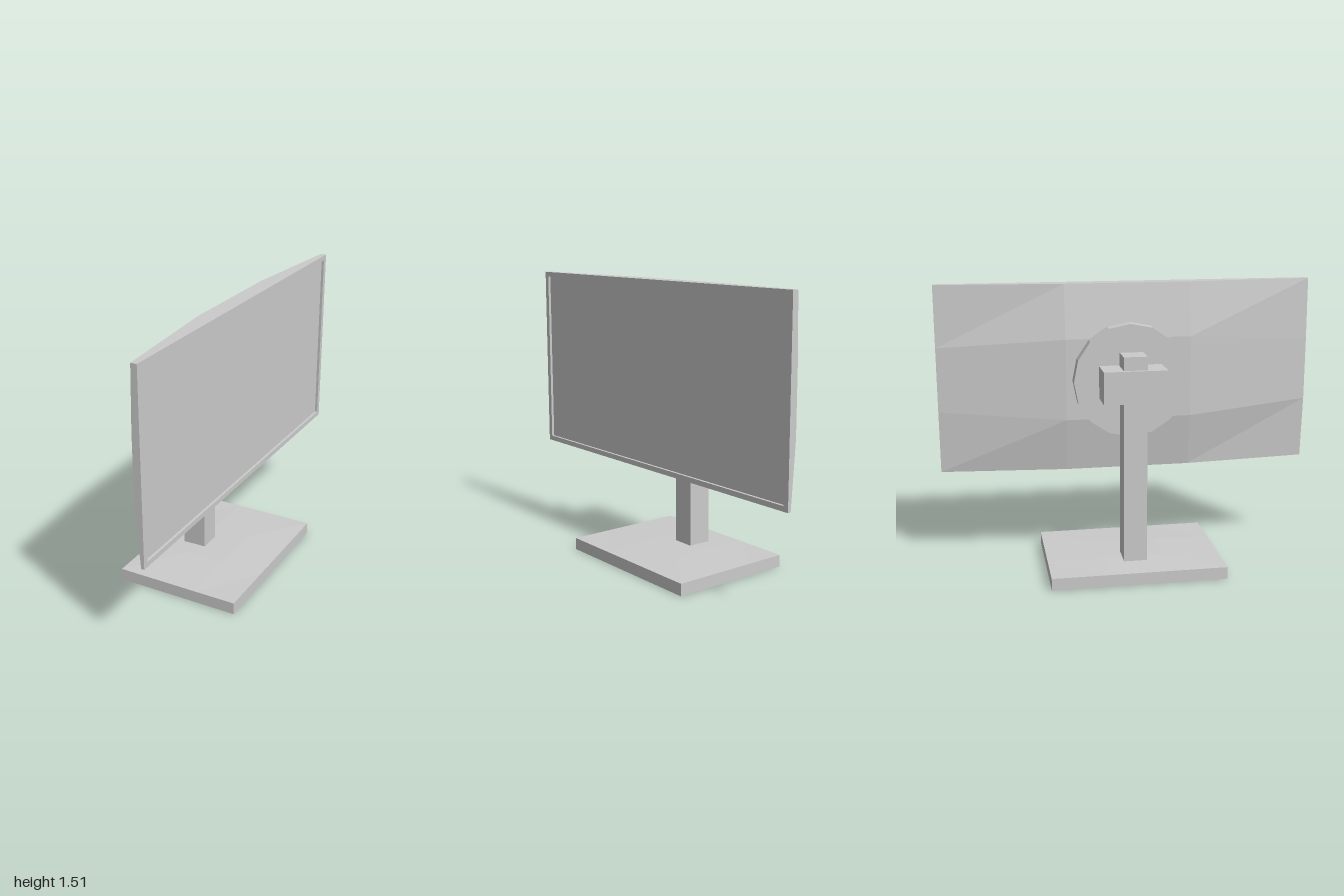
import * as THREE from 'three';

const grey = new THREE.MeshStandardMaterial({ color: 0xcccccc, flatShading: true });

function part(name, geometry, x = 0, y = 0, z = 0) {
  const mesh = new THREE.Mesh(geometry, grey);
  mesh.name = name;
  mesh.position.set(x, y, z);
  return mesh;
}

// Box given by its lower and upper corners
function boxPart(name, [x0, y0, z0], [x1, y1, z1]) {
  return part(name, new THREE.BoxGeometry(x1 - x0, y1 - y0, z1 - z0),
    (x0 + x1) / 2, (y0 + y1) / 2, (z0 + z1) / 2);
}

// Foot plate whose top rises slightly towards the middle
function baseGeometry() {
  const g = new THREE.BoxGeometry(0.68, 0.065, 0.925, 3, 1, 3);
  const p = g.attributes.position;
  for (let i = 0; i < p.count; i++) {
    const inner = Math.abs(p.getX(i)) < 0.3 && Math.abs(p.getZ(i)) < 0.4;
    if (inner && p.getY(i) > 0) p.setY(i, 0.0405);
  }
  g.computeVertexNormals();
  return g;
}

// Screen housing: a 3 x 3 grid back that bulges towards the stand
function housingGeometry(front) {
  const g = new THREE.BoxGeometry(1, 1, 2, 1, 3, 3);
  const p = g.attributes.position;
  // rows from bottom to top
  const sideX = [0.143, 0.12, 0.12, 0.128];
  const middleX = [0.085, 0.034, 0.034, 0.07];
  const sideY = [0.515, 0.85, 1.19, 1.515];
  const middleY = [0.515, 0.8, 1.23, 1.515];
  for (let i = 0; i < p.count; i++) {
    const row = Math.round((p.getY(i) + 0.5) * 3);
    const side = Math.abs(p.getZ(i)) > 0.9;
    const back = p.getX(i) < 0;
    p.setX(i, back ? (side ? sideX : middleX)[row] : front);
    p.setY(i, (side ? sideY : middleY)[row]);
  }
  g.computeVertexNormals();
  return g;
}

// Rectangular frame around the recessed display
function bezelGeometry(depth) {
  const rect = (S, w, h) => new S([[-w, -h], [w, -h], [w, h], [-w, h]]
    .map(([x, y]) => new THREE.Vector2(x, y)));
  const shape = rect(THREE.Shape, 1, 0.5);
  shape.holes.push(rect(THREE.Path, 0.972, 0.473));
  return new THREE.ExtrudeGeometry(shape, { depth, bevelEnabled: false })
    .rotateY(Math.PI / 2);
}

export function createModel() {
  const model = new THREE.Group();
  model.name = 'monitor';

  // Stand
  model.add(part('base', baseGeometry(), 0, 0.0325, 0));
  model.add(boxPart('column', [-0.185, 0.06, -0.063], [-0.055, 1.17, 0.06]));
  model.add(boxPart('heightClamp', [-0.205, 0.93, -0.168], [-0.033, 1.1, 0.163]));

  // Sixteen-sided mounting disc behind the screen
  const disc = new THREE.CylinderGeometry(0.3, 0.3, 0.075, 16).rotateZ(Math.PI / 2);
  model.add(part('mountDisc', disc, 0.0025, 1.015, 0));

  // Screen facing +x
  const screen = new THREE.Group();
  screen.name = 'screen';
  screen.add(part('housing', housingGeometry(0.146)));
  screen.add(part('bezel', bezelGeometry(0.014), 0.146, 1.015, 0));
  model.add(screen);

  return model;
}
